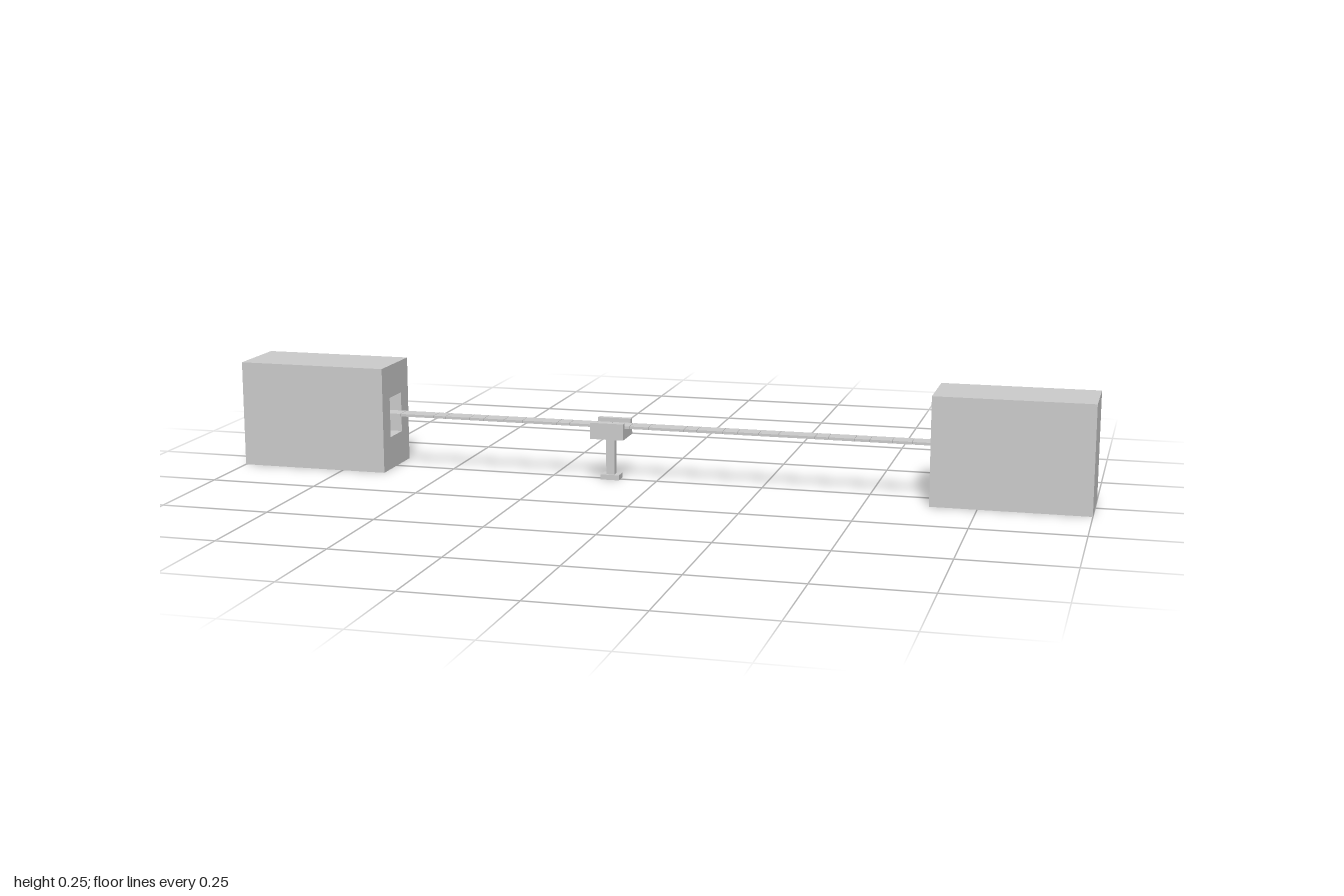
import * as THREE from 'three';

const grey = new THREE.MeshStandardMaterial({ color: 0xcccccc, flatShading: true });

function box(parent, name, w, h, d, x, y, z) {
  const mesh = new THREE.Mesh(new THREE.BoxGeometry(w, h, d), grey);
  mesh.name = name;
  mesh.position.set(x, y, z);
  parent.add(mesh);
  return mesh;
}

// Solid end block with a rectangular tunnel in the face towards the bridge
function endBlock(side) {
  const group = new THREE.Group();
  group.name = side > 0 ? 'leftBlock' : 'rightBlock';
  const halfWidth = 0.081, height = 0.249, length = 0.356, tunnel = 0.25;

  const shape = new THREE.Shape([
    new THREE.Vector2(-halfWidth, 0), new THREE.Vector2(halfWidth, 0),
    new THREE.Vector2(halfWidth, height), new THREE.Vector2(-halfWidth, height),
  ]);
  shape.holes.push(new THREE.Path([
    new THREE.Vector2(-0.036, 0.077), new THREE.Vector2(-0.036, 0.172),
    new THREE.Vector2(0.036, 0.172), new THREE.Vector2(0.036, 0.077),
  ]));
  const geometry = new THREE.ExtrudeGeometry(shape, { depth: tunnel, bevelEnabled: false });
  geometry.rotateY(side * Math.PI / 2);
  const portal = new THREE.Mesh(geometry, grey);
  portal.name = 'tunnelHousing';
  portal.position.x = side * (1 - length);
  group.add(portal);

  const rest = length - tunnel;
  box(group, 'solidEnd', rest, height, halfWidth * 2, side * (1 - rest / 2), height / 2, 0);
  return group;
}

// Row of thin planks of uneven length, laid end to end
function bridge() {
  const group = new THREE.Group();
  group.name = 'bridge';
  const lengths = [0.045, 0.085, 0.03, 0.06, 0.035, 0.05];
  const end = 0.67;
  let x = -end;
  for (let i = 0; x < end - 0.001; i++) {
    const length = Math.min(lengths[i % lengths.length], end - x);
    box(group, 'plank', length - 0.001, 0.006, 0.04, x + length / 2, 0.128, 0);
    x += length;
  }
  return group;
}

// Pier with foot, column, bearing tray and two side rails
function pier() {
  const group = new THREE.Group();
  group.name = 'pier';
  group.position.x = -0.109;
  box(group, 'foot', 0.044, 0.012, 0.03, 0, 0.006, 0);
  box(group, 'column', 0.02, 0.09, 0.018, 0, 0.057, 0);
  box(group, 'tray', 0.079, 0.024, 0.08, 0, 0.113, 0);
  for (const side of [-1, 1]) {
    box(group, 'sideRail', 0.079, 0.014, 0.013, 0, 0.132, side * 0.0335);
  }
  return group;
}

export function createModel() {
  const model = new THREE.Group();
  model.name = 'bridgeBetweenBlocks';
  model.add(endBlock(-1), endBlock(1), bridge(), pier());
  return model;
}
